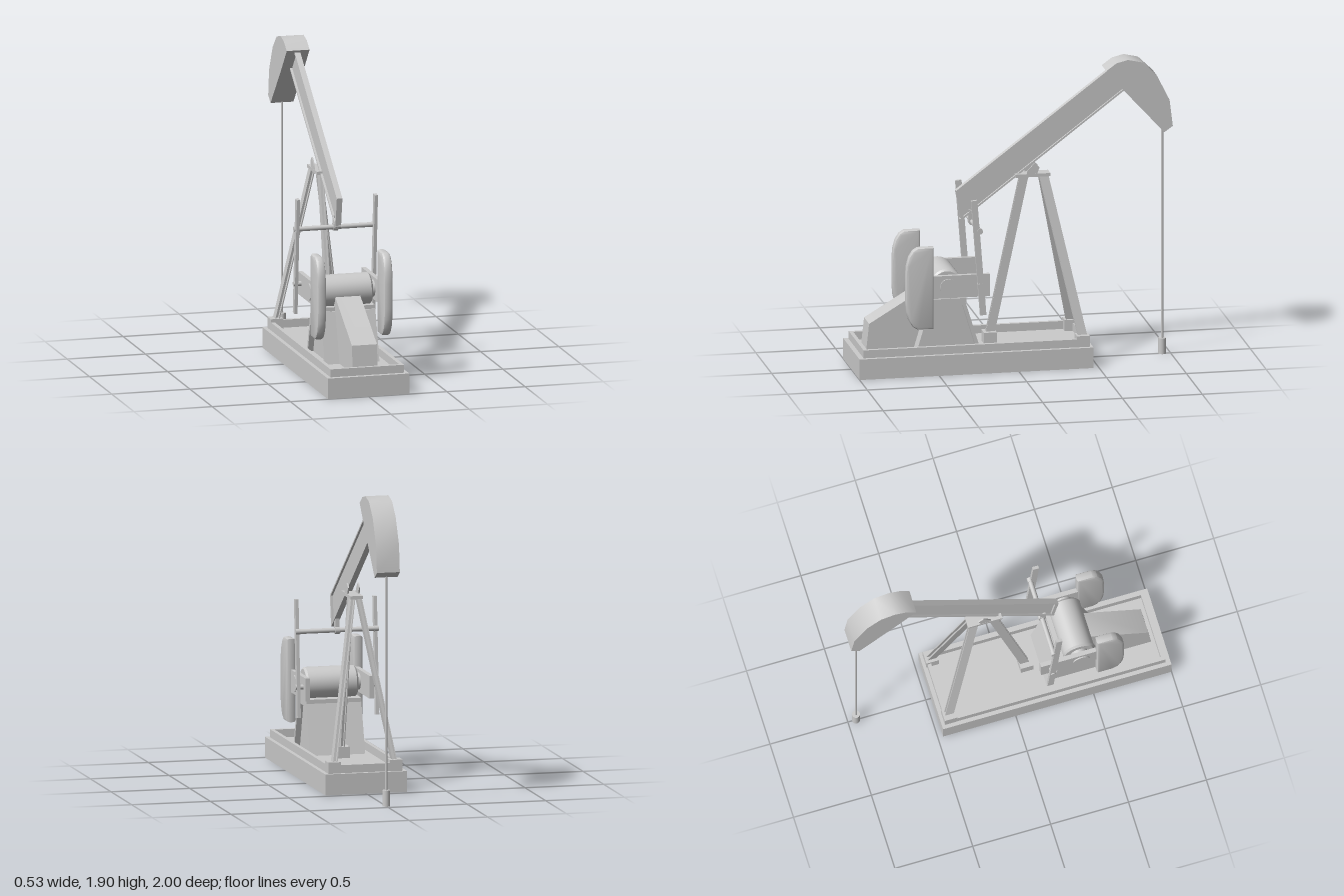
import * as THREE from 'three';
import { toCreasedNormals } from 'three/addons/utils/BufferGeometryUtils.js';

export function createModel() {
  const model = new THREE.Group();
  const mat = new THREE.MeshStandardMaterial({ color: 0xcccccc, side: THREE.DoubleSide });

  const add = (name, geo, x = 0, y = 0, z = 0) => {
    const m = new THREE.Mesh(geo, mat);
    m.name = name;
    m.position.set(x, y, z);
    model.add(m);
    return m;
  };
  const box = (name, w, h, d, x, y, z) => add(name, new THREE.BoxGeometry(w, h, d), x, y, z);
  const vecs = (pts) => pts.map((p) => new THREE.Vector2(p[0], p[1]));

  // Side profile of [z, y] points, given a width along x
  const profile = (name, pts, width, x = 0, bevel = 0) => {
    const depth = width - 2 * bevel;
    const g = new THREE.ExtrudeGeometry(new THREE.Shape(vecs(pts)), {
      depth, bevelEnabled: bevel > 0, bevelSize: bevel, bevelThickness: bevel, bevelOffset: -bevel, bevelSegments: 2,
    });
    g.translate(0, 0, -depth / 2);
    g.rotateY(-Math.PI / 2);
    return add(name, toCreasedNormals(g, 0.6), x);
  };
  // Cylinder lying along x
  const rod = (name, r, len, x, y, z, seg = 20) => {
    const m = add(name, new THREE.CylinderGeometry(r, r, len, seg), x, y, z);
    m.rotation.z = Math.PI / 2;
    return m;
  };
  // Rectangular frame of four walls, from zFront back to zBack
  const frame = (name, x, zFront, zBack, t, y, h) => {
    const len = zFront - zBack, mid = (zFront + zBack) / 2;
    for (const s of [-1, 1]) {
      box(name + 'Side', t, h, len, s * (x - t / 2), y + h / 2, mid);
      box(name + 'End', 2 * (x - t), h, t, 0, y + h / 2, mid + s * (len - t) / 2);
    }
  };
  // I-section strut between two points, its flanges facing sideways
  const strut = (name, from, to, w, d) => {
    const a = new THREE.Vector3(...from), b = new THREE.Vector3(...to);
    const W = w / 2, D = d / 2, f = W * 0.55, t = D * 0.2;
    const s = new THREE.Shape(vecs([[-W, -D], [-f, -D], [-f, -t], [f, -t], [f, -D], [W, -D],
      [W, D], [f, D], [f, t], [-f, t], [-f, D], [-W, D]]));
    const m = add(name, new THREE.ExtrudeGeometry(s, { depth: a.distanceTo(b), bevelEnabled: false }), ...from);
    m.up.set(0, 0, 1);
    m.lookAt(b);
  };

  // Hollow base, open underneath, with a raised rim around a sunken deck
  frame('baseWall', 0.26, 1.0, -0.467, 0.008, 0, 0.13);
  box('baseDeck', 0.518, 0.006, 1.464, 0, 0.127, 0.2665);
  frame('baseRim', 0.235, 0.97, -0.442, 0.024, 0.13, 0.05);

  // Three-legged tower
  box('frontFoot', 0.09, 0.07, 0.08, 0, 0.165, 0.137);
  strut('frontLeg', [0, 0.19, 0.133], [0, 1.18, -0.08], 0.026, 0.055);
  for (const s of [-1, 1]) {
    box('rearFoot', 0.08, 0.07, 0.08, s * 0.196, 0.165, -0.408);
    strut('rearLeg', [s * 0.19, 0.19, -0.41], [s * 0.02, 1.18, -0.2], 0.028, 0.055);
    profile('bearingBracket', [[-0.09, 1.19], [-0.095, 1.215], [-0.14, 1.262], [-0.172, 1.235], [-0.155, 1.19]], 0.008, s * 0.035);
  }
  box('towerPlate', 0.08, 0.02, 0.22, 0, 1.185, -0.13);

  // Walking beam: web, two flanges and an end plate
  const topA = [0.348, 1.105], topB = [-0.62, 1.835], botA = [0.316, 0.915], botB = [-0.72, 1.70];
  const shift = (p, k) => [p[0] + 0.6 * k, p[1] + 0.8 * k];
  profile('beamWeb', [topA, topB, botB, botA], 0.01);
  profile('beamTopFlange', [topA, topB, shift(topB, -0.011), shift(topA, -0.011)], 0.036);
  profile('beamBottomFlange', [botA, botB, shift(botB, 0.011), shift(botA, 0.011)], 0.036);
  profile('beamEndPlate', [topA, botA, [0.298, 0.927], [0.328, 1.117]], 0.036);

  // Curved head with its hanging line
  profile('beamHead', [[-0.583, 1.834], [-0.647, 1.88], [-0.72, 1.898], [-0.81, 1.877], [-0.9, 1.79],
    [-0.98, 1.63], [-1.0, 1.464], [-0.947, 1.426], [-0.706, 1.69]], 0.146);
  add('cable', new THREE.CylinderGeometry(0.007, 0.007, 1.36, 8), 0, 0.77, -0.948);
  add('cableWeight', new THREE.CylinderGeometry(0.025, 0.025, 0.1, 12), 0, 0.05, -0.948);

  // Cross bar hung under the beam
  rod('crossBar', 0.015, 0.52, 0, 0.905, 0.245);
  rod('crossBarBearing', 0.024, 0.03, 0, 0.905, 0.245);
  box('crossBarBracket', 0.026, 0.07, 0.035, 0, 0.945, 0.25);

  // Gearbox on a flanged pedestal
  const gr = 0.1, gl = 0.165;
  const drum = add('gearbox', toCreasedNormals(new THREE.LatheGeometry(vecs([[0, -gl], [gr - 0.012, -gl], [gr, -gl + 0.012],
    [gr, gl - 0.012], [gr - 0.012, gl], [0, gl]]), 32), 0.5), 0, 0.55, 0.435);
  drum.rotation.z = Math.PI / 2;
  rod('crankShaft', 0.053, 0.45, 0, 0.55, 0.435, 24);
  box('gearboxPlate', 0.35, 0.025, 0.21, 0, 0.452, 0.42);
  profile('pedestalFrontFlange', [[0.628, 0.13], [0.535, 0.44], [0.512, 0.44], [0.605, 0.13]], 0.35);
  profile('pedestalBackFlange', [[0.225, 0.13], [0.32, 0.44], [0.343, 0.44], [0.248, 0.13]], 0.35);
  box('pedestalTop', 0.35, 0.02, 0.2, 0, 0.43, 0.428);
  profile('pedestalCore', [[0.615, 0.13], [0.525, 0.425], [0.33, 0.425], [0.24, 0.13]], 0.28);

  // Sloping motor cover
  profile('motorCover', [[0.924, 0.13], [0.905, 0.305], [0.53, 0.53], [0.5, 0.53], [0.5, 0.13]], 0.16);

  // Cranks, counterweights and connecting arms, one set per side
  for (const s of [-1, 1]) {
    box('crankArm', 0.028, 0.142, 0.4, s * 0.203, 0.551, 0.375);
    profile('counterweight', [[0.53, 0.293], [0.53, 0.813], [0.63, 0.813], [0.66, 0.795], [0.685, 0.755], [0.7, 0.7], [0.705, 0.63],
      [0.705, 0.476], [0.7, 0.406], [0.685, 0.351], [0.66, 0.311], [0.63, 0.293]], 0.057, s * 0.213, 0.016);
    profile('connectingArm', [[0.3, 1.1], [0.262, 1.104], [0.205, 0.374], [0.243, 0.37]], 0.02, s * 0.249);
    rod('crankPin', 0.016, 0.07, s * 0.23, 0.56, 0.24, 16);
    rod('crossBarCap', 0.018, 0.028, s * 0.249, 0.905, 0.245, 16);
  }
  return model;
}
